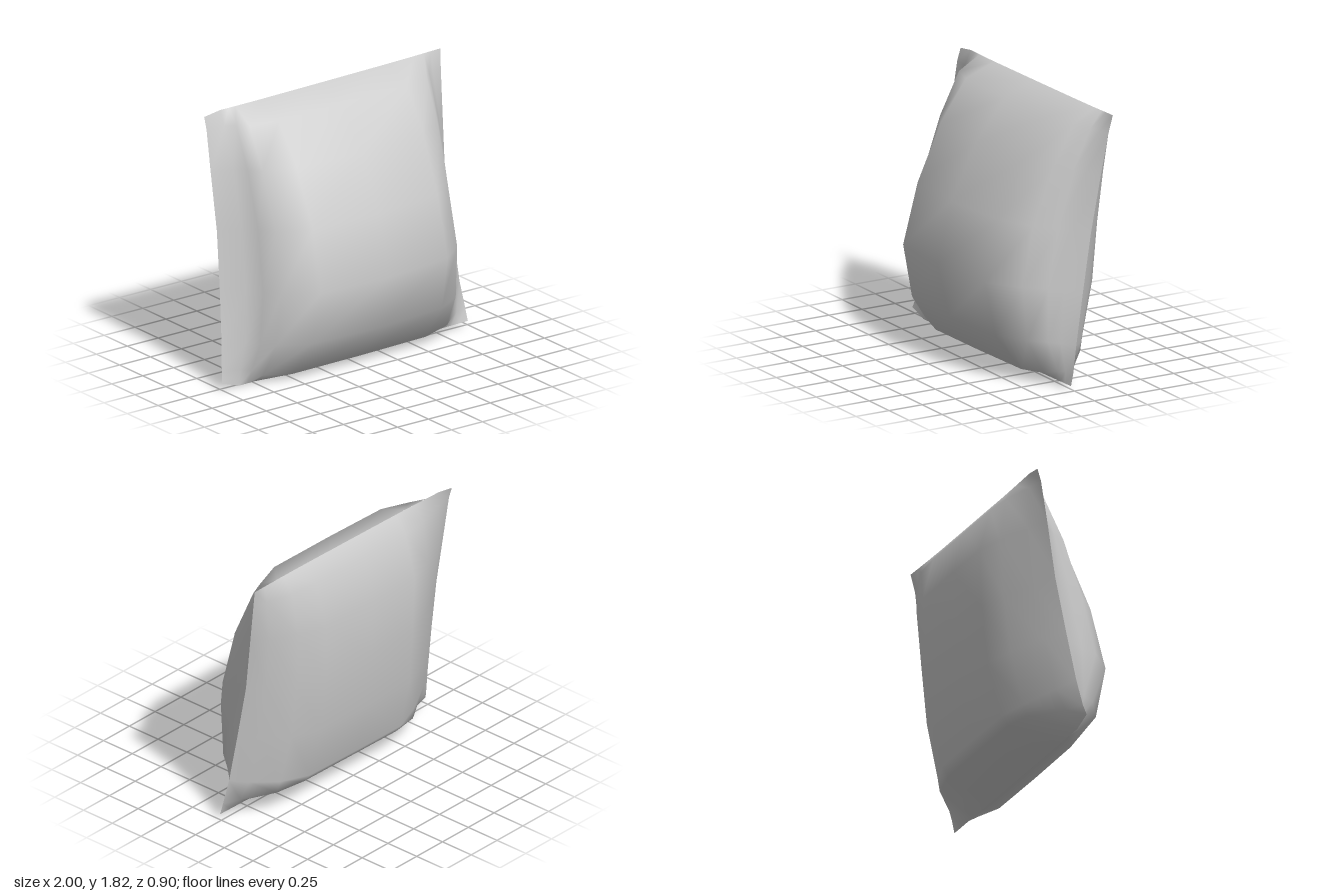
import * as THREE from 'three';

// Seam down the two sides, one entry per row from bottom to top
const seamLeft = [-1, -0.985, -0.96, -0.93, -0.905, -0.91, -0.91, -0.91];
const seamRight = [0.99, 0.985, 0.965, 0.95, 0.94, 0.965, 0.985, 1];
const seamY = [0.04, 0.12, 0.3, 0.65, 1.03, 1.42, 1.7, 1.82];
const seamZ = [0.02, 0, -0.035, -0.095, -0.16, -0.22, -0.265, -0.29];

// Each panel: middle profile per row (y, z), columns across and how full each column is
const front = {
  y: [0.02, 0.05, 0.31, 0.68, 1.09, 1.46, 1.73, 1.82],
  z: [0.02, 0.14, 0.36, 0.45, 0.345, 0.16, -0.06, -0.28],
  across: [-1, -0.86, -0.79, -0.73, -0.52, 0.03, 0.57, 0.78, 0.865, 0.92, 1],
  fill: [0, 0.2, 0.38, 0.61, 0.91, 1, 0.91, 0.61, 0.34, 0.18, 0],
};
const back = {
  y: [0.02, 0.17, 0.23, 0.6, 1, 1.4, 1.7, 1.82],
  z: [0.02, -0.26, -0.31, -0.4, -0.435, -0.45, -0.37, -0.28],
  across: [-1, -0.86, -0.62, -0.41, 0.03, 0.5, 0.72, 0.9, 1],
  fill: [0, 0.32, 0.75, 0.99, 1, 0.99, 0.75, 0.33, 0],
};

// Slightly skewed bottom and top hems with a clipped corner on one side
const bottomHem = (x) => (x < -0.95 ? 0.05 : 0.005 + 0.018 * (x + 0.86));
const topHem = (x) => (x < -0.9 ? 1.78 : 1.8 + 0.015 * (x + 0.78));

function panel(name, p, facesFront, material) {
  const rows = seamY.length, cols = p.across.length;
  const pos = [], index = [];
  for (let r = 0; r < rows; r++) {
    const nearHem = r === 1 || r === rows - 2;
    for (let c = 0; c < cols; c++) {
      const s = p.across[c];
      const x = s < 0 ? -s * seamLeft[r] : s * seamRight[r];
      // Next to the hems the middle stays full and the corners flatten into ears
      const w = nearHem ? THREE.MathUtils.smoothstep(p.fill[c], 0, 1) : p.fill[c];
      let y = THREE.MathUtils.lerp(seamY[r], p.y[r] + 0.015 * x, w);
      if (r === 0) y = bottomHem(x);
      if (r === rows - 1) y = topHem(x);
      pos.push(x, y, THREE.MathUtils.lerp(seamZ[r], p.z[r], w));
    }
  }
  for (let r = 0; r < rows - 1; r++) {
    for (let c = 0; c < cols - 1; c++) {
      const a = r * cols + c, b = a + 1, d = a + cols, e = d + 1;
      if (facesFront) index.push(a, b, e, a, e, d);
      else index.push(a, e, b, a, d, e);
    }
  }
  const g = new THREE.BufferGeometry();
  g.setAttribute('position', new THREE.Float32BufferAttribute(pos, 3));
  g.setIndex(index);
  g.computeVertexNormals();
  const mesh = new THREE.Mesh(g, material);
  mesh.name = name;
  return mesh;
}

export function createModel() {
  const group = new THREE.Group();
  group.name = 'cushion';
  const material = new THREE.MeshStandardMaterial({ color: 0xcccccc });
  // Two stuffed panels meeting along a sharp seam
  group.add(panel('frontPanel', front, true, material));
  group.add(panel('backPanel', back, false, material));
  return group;
}
